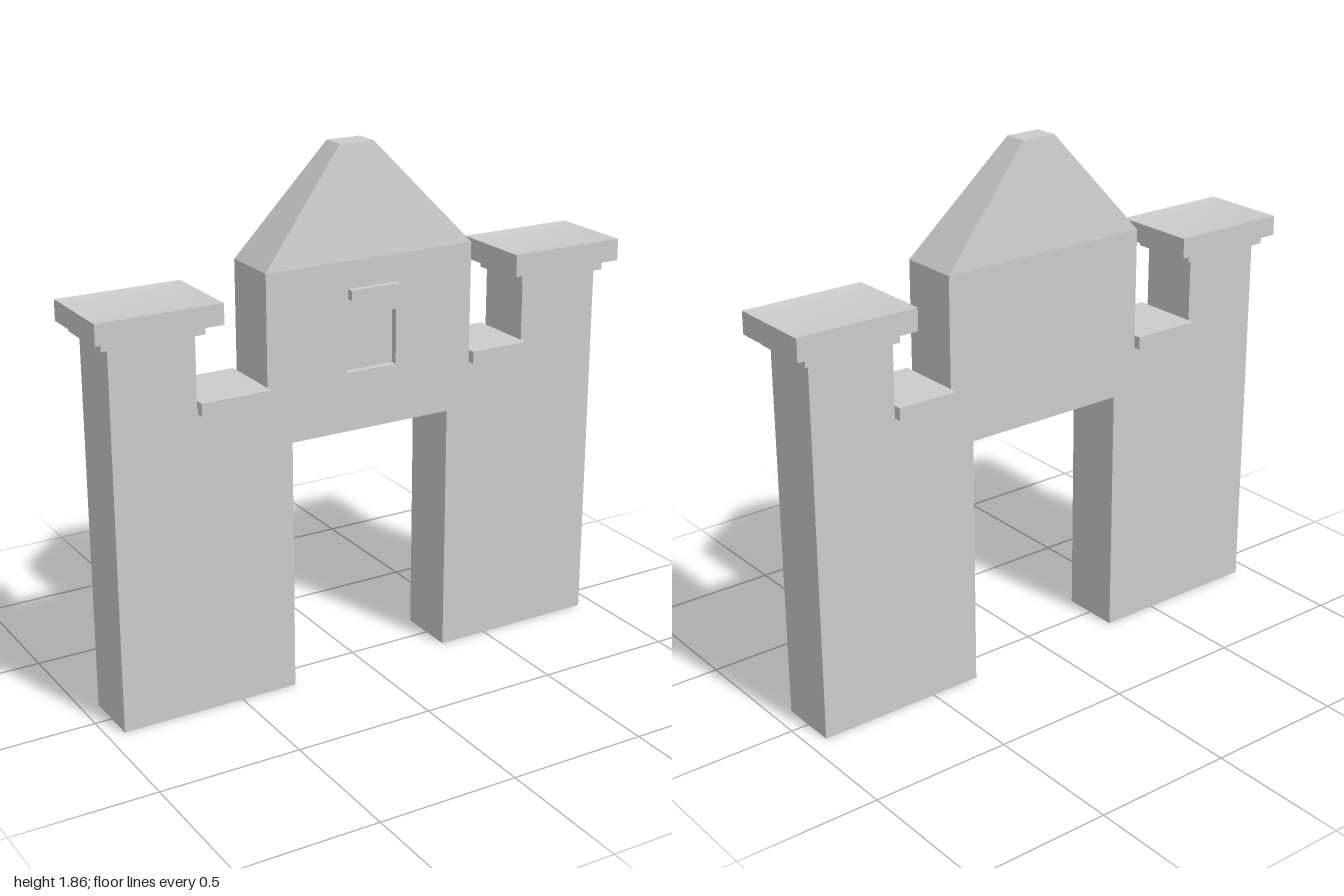
import * as THREE from 'three';

const BACK = -0.11, FRONT = 0.106;

export function createModel() {
  const group = new THREE.Group();
  group.name = 'gateway';
  const material = new THREE.MeshStandardMaterial({ color: 0xcccccc });

  const add = (name, geometry) => {
    const mesh = new THREE.Mesh(geometry, material);
    mesh.name = name;
    group.add(mesh);
    return mesh;
  };
  // Box given by its limits on each axis
  const block = (name, x0, x1, y0, y1, z0, z1) =>
    add(name, new THREE.BoxGeometry(x1 - x0, y1 - y0, z1 - z0)
      .translate((x0 + x1) / 2, (y0 + y1) / 2, (z0 + z1) / 2));

  // Wall: two towers, gatehouse and doorway in one outline
  const outline = new THREE.Shape([
    [-0.94, 0], [-0.294, 0], [-0.294, 0.898], [0.318, 0.898], [0.318, 0], [0.936, 0],
    [0.936, 1.33], [0.626, 1.33], [0.626, 1.08], [0.406, 1.08], [0.406, 1.49],
    [-0.385, 1.49], [-0.385, 1.08], [-0.64, 1.08], [-0.64, 1.34], [-0.94, 1.34],
  ].map(([x, y]) => new THREE.Vector2(x, y)));
  outline.holes.push(new THREE.Path([
    [-0.085, 1.105], [-0.085, 1.3], [0.107, 1.3], [0.107, 1.105],
  ].map(([x, y]) => new THREE.Vector2(x, y))));
  add('wall', new THREE.ExtrudeGeometry(outline, { depth: FRONT - BACK, bevelEnabled: false })
    .translate(0, 0, BACK));

  // Blind window: the opening is filled to just behind the front face
  block('windowPanel', -0.085, 0.107, 1.105, 1.3, BACK, FRONT - 0.025);
  block('windowLintel', -0.08, 0.107, 1.36, 1.395, FRONT - 0.02, 0.13);

  // Hipped roof with a flat top
  const roof = new THREE.BoxGeometry(1, 1, 1);
  const p = roof.attributes.position;
  for (let i = 0; i < p.count; i++) {
    const top = p.getY(i) > 0, right = p.getX(i) > 0, front = p.getZ(i) > 0;
    const x = top ? (right ? 0.064 : -0.064) : (right ? 0.406 : -0.385);
    const z = top ? (front ? 0.027 : -0.057) : (front ? FRONT : BACK);
    p.setXYZ(i, x, top ? 1.86 : 1.49, z);
  }
  const flatRoof = roof.toNonIndexed();
  flatRoof.computeVertexNormals();
  add('roof', flatRoof);

  // Ledges between the gatehouse and the towers
  block('rightLedge', -0.637, -0.385, 1.062, 1.106, -0.136, 0.133);
  block('leftLedge', 0.406, 0.626, 1.062, 1.106, -0.138, 0.134);

  // Stepped tower tops
  block('rightTowerMoulding', -0.968, -0.612, 1.33, 1.364, -0.128, 0.124);
  block('leftTowerMoulding', 0.61, 0.957, 1.32, 1.358, -0.128, 0.124);

  // Capstone with a very shallow, softly shaded dip in its top
  const capstone = (name, x0, x1, y0, y1) => {
    const w = x1 - x0, h = y1 - y0, d = 0.314, inset = 0.05;
    const g = new THREE.BoxGeometry(w, h, d, 3, 1, 3);
    const q = g.attributes.position;
    for (let i = 0; i < q.count; i++) {
      const x = q.getX(i), z = q.getZ(i);
      const innerX = Math.abs(x) < w / 2 - 0.01, innerZ = Math.abs(z) < d / 2 - 0.01;
      if (innerX) q.setX(i, Math.sign(x) * (w / 2 - inset));
      if (innerZ) q.setZ(i, Math.sign(z) * (d / 2 - inset));
      if (innerX && innerZ && q.getY(i) > 0) q.setY(i, h / 2 - 0.008);
    }
    g.computeVertexNormals();
    add(name, g).position.set((x0 + x1) / 2, (y0 + y1) / 2, 0);
  };
  capstone('rightTowerCap', -1, -0.561, 1.362, 1.433);
  capstone('leftTowerCap', 0.561, 1, 1.355, 1.433);

  return group;
}
